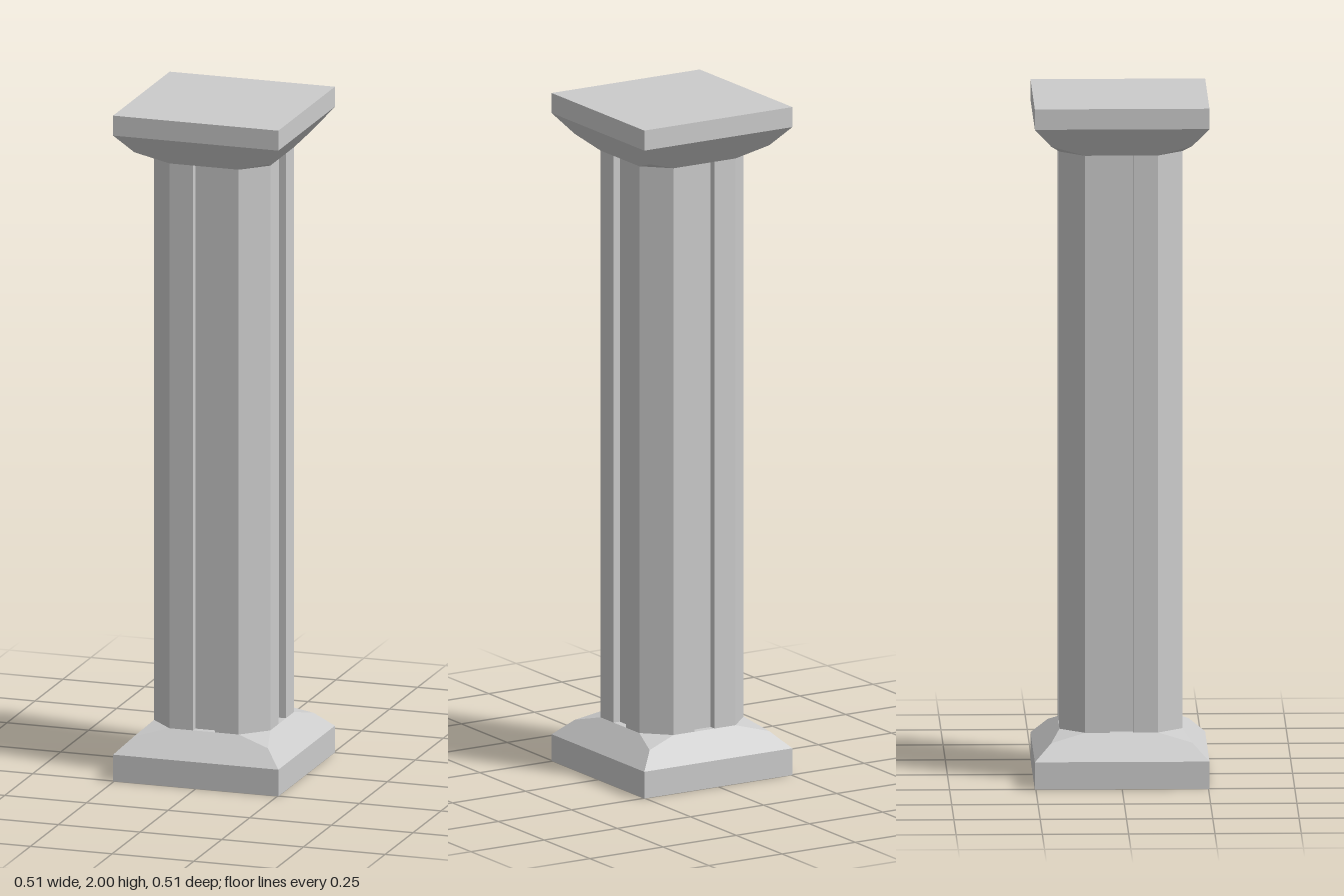
import * as THREE from 'three';
import { ConvexGeometry } from 'three/addons/geometries/ConvexGeometry.js';

const SLAB = 0.253;    // half width of the square slabs
const SHAFT = 0.178;   // half width of the shaft
const CHAMFER = 0.106; // where the shaft's corner chamfer starts
const GROOVE = 0.034;  // half width of the groove on each side
const FLOOR = 0.157;   // distance of the groove floor from the axis

const material = new THREE.MeshStandardMaterial({ color: 0xcccccc, flatShading: true });

// Square slab bevelled in to the shaft's outline, with clipped bevel corners
function block(name, outerY, edgeY, shaftY) {
  const clip = 0.65; // how far along the bevel the corner clip begins
  const clipR = THREE.MathUtils.lerp(SLAB, SHAFT, clip);
  const clipY = THREE.MathUtils.lerp(edgeY, shaftY, clip);
  const points = [];
  for (const sx of [-1, 1]) {
    for (const sz of [-1, 1]) {
      const add = (x, y, z) => points.push(new THREE.Vector3(sx * x, y, sz * z));
      add(SLAB, outerY, SLAB);
      add(SLAB, edgeY, SLAB);
      add(clipR, clipY, clipR);
      add(SHAFT, shaftY, CHAMFER);
      add(CHAMFER, shaftY, SHAFT);
    }
  }
  const mesh = new THREE.Mesh(new ConvexGeometry(points), material);
  mesh.name = name;
  return mesh;
}

// Chamfered square shaft with one rectangular groove down each side
function shaft(bottom, top) {
  const side = [
    [SHAFT, -CHAMFER], [SHAFT, -GROOVE], [FLOOR, -GROOVE],
    [FLOOR, GROOVE], [SHAFT, GROOVE], [SHAFT, CHAMFER],
  ];
  const outline = [];
  for (let i = 0; i < 4; i++) {
    for (const [x, y] of side) {
      outline.push(new THREE.Vector2(x, y).rotateAround(new THREE.Vector2(), i * Math.PI / 2));
    }
  }
  const geometry = new THREE.ExtrudeGeometry(new THREE.Shape(outline), {
    depth: top - bottom, bevelEnabled: false,
  });
  geometry.rotateX(-Math.PI / 2).translate(0, bottom, 0);
  const mesh = new THREE.Mesh(geometry, material);
  mesh.name = 'shaft';
  return mesh;
}

export function createModel() {
  const column = new THREE.Group();
  column.name = 'column';
  column.add(
    block('base', 0, 0.08, 0.153),
    shaft(0.153, 1.85),
    block('capital', 2, 1.94, 1.85),
  );
  return column;
}
